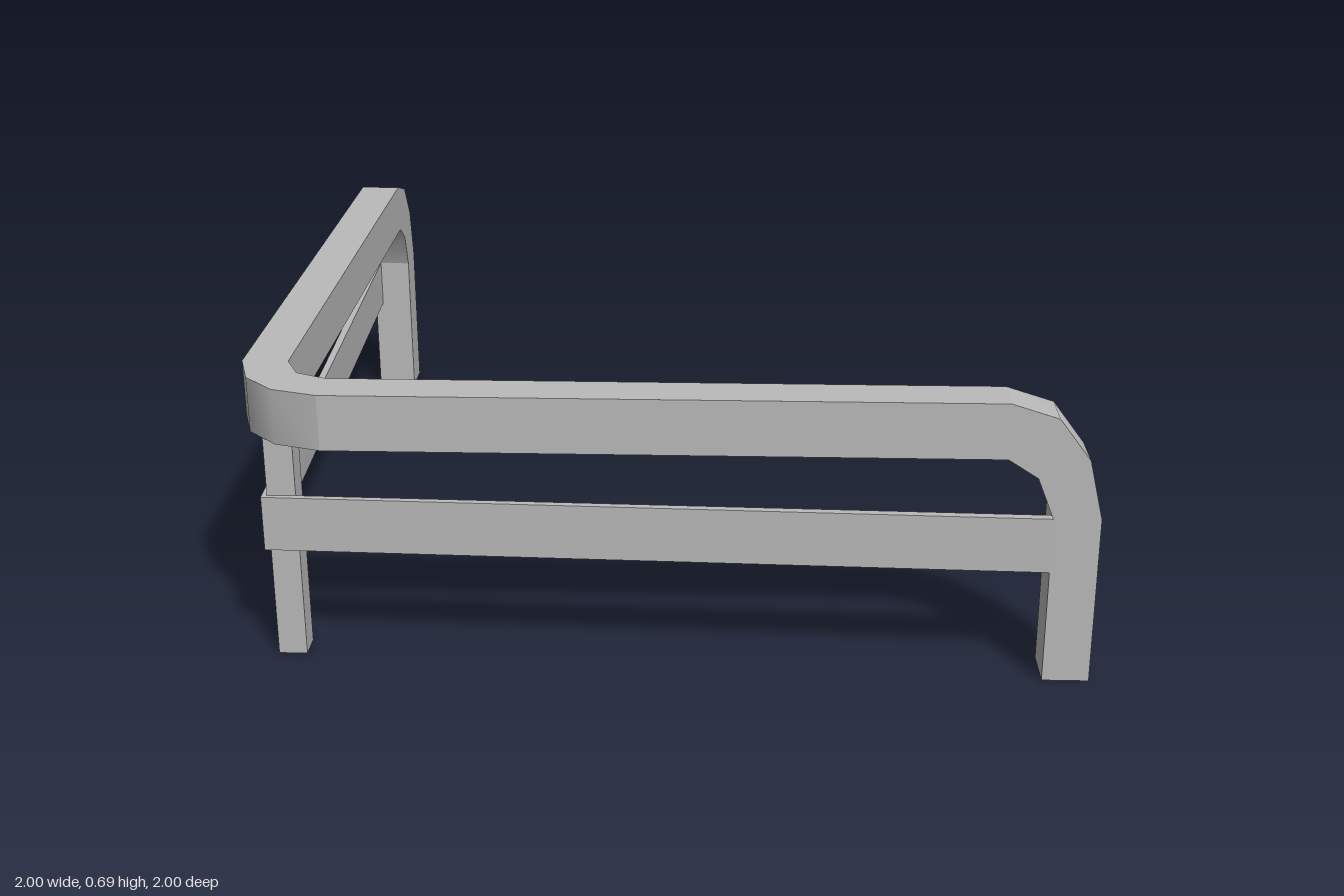
import * as THREE from 'three';
import { toCreasedNormals } from 'three/addons/utils/BufferGeometryUtils.js';

const OUT = 1, IN = 0.89, BEND = 0.78;          // outer face, inner face, start of bends
const TOP = 0.695, UNDER = 0.56, LEG_TOP = 0.415, SLAT_BASE = 0.28;

export function createModel() {
  const grey = new THREE.MeshStandardMaterial({ color: 0xbababa });
  grey.name = 'grey';
  const model = new THREE.Group();
  model.name = 'cornerRail';

  const add = (parent, name, geometry) => {
    const mesh = new THREE.Mesh(geometry, grey);
    mesh.name = name;
    parent.add(mesh);
  };
  // Box between two corners
  const box = (x0, y0, z0, x1, y1, z1) =>
    new THREE.BoxGeometry(x1 - x0, y1 - y0, z1 - z0)
      .translate((x0 + x1) / 2, (y0 + y1) / 2, (z0 + z1) / 2);
  const extrude = (points, depth) => new THREE.ExtrudeGeometry(
    new THREE.Shape(points.map(([x, y]) => new THREE.Vector2(x, y))),
    { depth, bevelEnabled: false });
  // Plan outline given as [x, z], raised from y0 to y1
  const plan = (points, y0, y1) =>
    extrude(points.map(([x, z]) => [x, -z]), y1 - y0).rotateX(-Math.PI / 2).translate(0, y0, 0);
  const smooth = (geometry) => toCreasedNormals(geometry, 0.9);

  // One arm along x: end leg, bend and the straight top rail starting at x0
  const bend = [[BEND, UNDER], [0.85, 0.515], [IN, LEG_TOP], [OUT, LEG_TOP],
    [0.965, 0.56], [0.89, 0.66], [BEND, TOP]];
  const arm = (name, z0) => {
    const group = new THREE.Group();
    group.name = name;
    const z1 = z0 + OUT - IN;
    add(group, 'leg', box(IN, 0, z0, OUT, LEG_TOP, z1));
    add(group, 'legBend', smooth(extrude(bend, OUT - IN).translate(0, 0, z0)));
    add(group, 'topRail', box(-BEND, UNDER, z0, BEND, TOP, z1));
    model.add(group);
    return group;
  };
  arm('frontArm', IN);
  arm('sideArm', -OUT).rotation.y = Math.PI / 2;

  // Rounded corner joining the two top rails
  add(model, 'cornerBend', smooth(plan([[-OUT, BEND], [-0.965, 0.89], [-0.89, 0.965],
    [-BEND, OUT], [-BEND, IN], [-0.855, 0.855], [-IN, BEND]], UNDER, TOP)));

  // Slim post under the corner
  add(model, 'cornerPost', box(-0.928, 0, 0.86, -0.86, UNDER, 0.928));

  // Thin lower slats, running from the legs slightly inward to the corner
  add(model, 'lowerSlats', plan([[IN, OUT], [-0.94, 0.94], [-OUT, -IN],
    [-0.978, -IN], [-0.925, 0.925], [IN, 0.978]], SLAT_BASE, LEG_TOP));

  return model;
}
